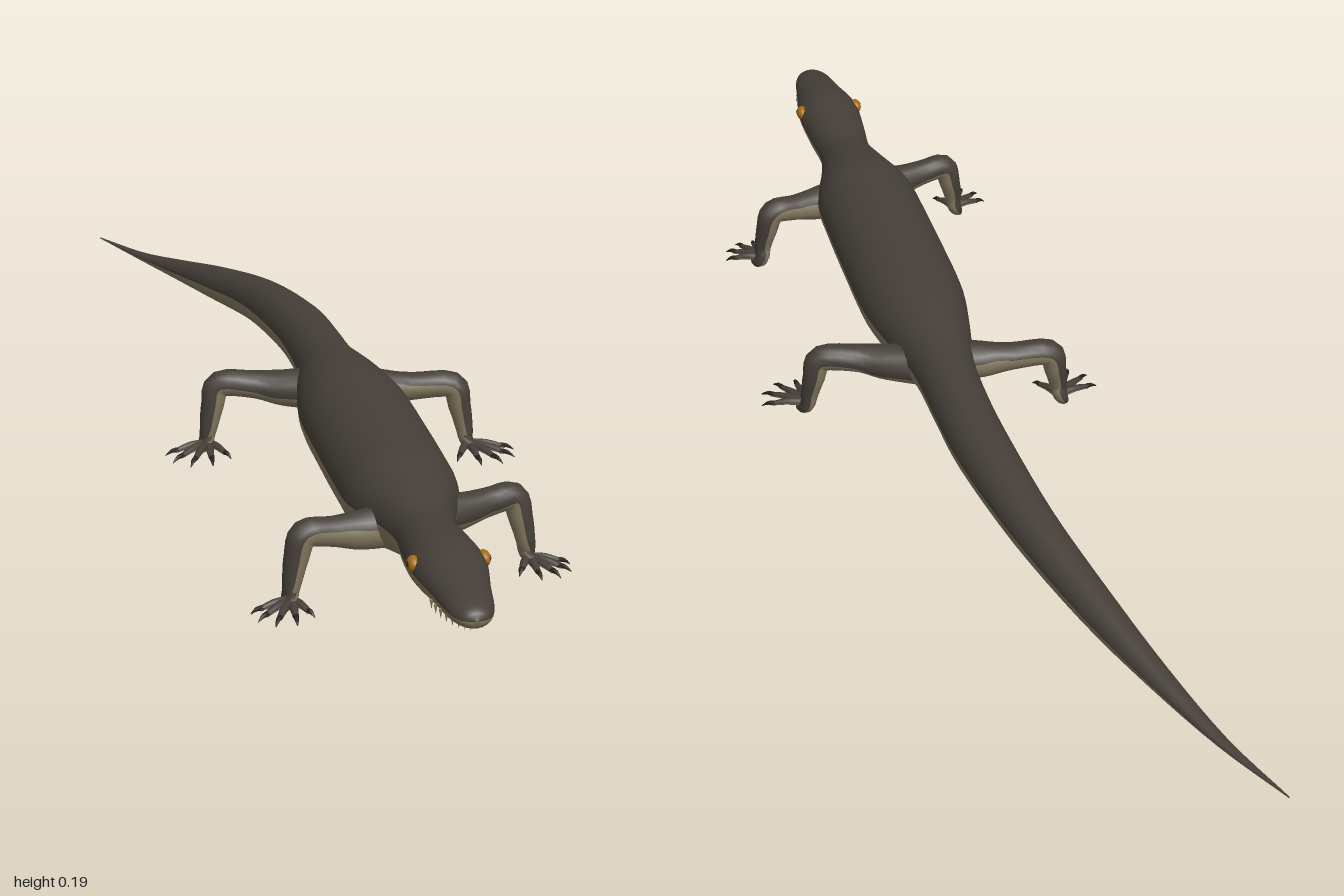
import * as THREE from 'three';

const mat = (name, color) => {
  const m = new THREE.MeshStandardMaterial({ color });
  m.name = name;
  return m;
};

// Smooth loft through stations [x, y, z, halfWidth, halfHeight].
// Material group 0 is the back half (towards ref), group 1 the belly half.
function loft(stations, ref, sides, perSpan) {
  const path = new THREE.CatmullRomCurve3(
    stations.map(s => new THREE.Vector3(s[0], s[1], s[2])), false, 'catmullrom', 0.5);
  const size = new THREE.CatmullRomCurve3(
    stations.map(s => new THREE.Vector3(s[3], s[4], 0)), false, 'catmullrom', 0.5);
  const n = (stations.length - 1) * perSpan;
  const pos = [], back = [], belly = [];
  for (let i = 0; i <= n; i++) {
    const c = path.getPoint(i / n), r = size.getPoint(i / n);
    const T = path.getTangent(i / n);
    const D = ref.clone().addScaledVector(T, -ref.dot(T)).normalize();
    const S = T.clone().cross(D);
    for (let j = 0; j < sides; j++) {
      const a = j / sides * Math.PI * 2;
      const p = c.clone()
        .addScaledVector(S, Math.max(r.x, 0.0005) * Math.cos(a))
        .addScaledVector(D, Math.max(r.y, 0.0005) * Math.sin(a));
      pos.push(p.x, p.y, p.z);
    }
  }
  for (let i = 0; i < n; i++) {
    for (let j = 0; j < sides; j++) {
      const k = (j + 1) % sides;
      const a = i * sides + j, b = i * sides + k, c = a + sides, d = b + sides;
      (j < sides / 2 ? back : belly).push(a, c, b, b, c, d);
    }
  }
  const g = new THREE.BufferGeometry();
  g.setAttribute('position', new THREE.Float32BufferAttribute(pos, 3));
  g.setIndex([...back, ...belly]);
  g.addGroup(0, back.length, 0);
  g.addGroup(back.length, belly.length, 1);
  g.computeVertexNormals();
  return g;
}

export function createModel() {
  const model = new THREE.Group();
  model.name = 'lizard';
  const backSkin = mat('dark back skin', 0x453f38);
  const bellySkin = mat('pale belly skin', 0x81765d);
  const eyeAmber = mat('amber eye', 0xa86a10);
  const black = mat('dark claw', 0x25211d);
  const ivory = mat('tooth', 0x8f866c);
  const skin = [backSkin, bellySkin];
  const UP = new THREE.Vector3(0, 1, 0);

  const add = (parent, name, geo, material) => {
    const m = new THREE.Mesh(geo, material);
    m.name = name;
    parent.add(m);
    return m;
  };

  // Head, trunk and tail in one skin, from the snout to the tail tip
  add(model, 'body', loft([
    [0, 0.118, 1.0, 0.001, 0.001],
    [0, 0.118, 0.992, 0.02, 0.013],
    [0, 0.119, 0.965, 0.032, 0.021],
    [0, 0.121, 0.91, 0.041, 0.029],
    [0, 0.124, 0.84, 0.053, 0.038],
    [0, 0.118, 0.77, 0.05, 0.042],
    [0, 0.114, 0.70, 0.045, 0.043],
    [0, 0.113, 0.64, 0.058, 0.055],
    [0, 0.11, 0.56, 0.082, 0.071],
    [0, 0.11, 0.48, 0.086, 0.073],
    [0, 0.11, 0.34, 0.087, 0.073],
    [0, 0.11, 0.21, 0.085, 0.072],
    [0, 0.11, 0.10, 0.068, 0.063],
    [0, 0.109, 0.01, 0.05, 0.052],
    [0, 0.107, -0.10, 0.046, 0.046],
    [-0.006, 0.102, -0.22, 0.045, 0.044],
    [-0.032, 0.087, -0.40, 0.038, 0.038],
    [-0.078, 0.062, -0.58, 0.030, 0.029],
    [-0.125, 0.041, -0.73, 0.020, 0.017],
    [-0.175, 0.025, -0.87, 0.010, 0.006],
    [-0.23, 0.02, -1.0, 0.001, 0.001],
  ], UP, 32, 4), skin);

  // Eyes, and a row of small teeth along each side of the jaw
  for (const s of [-1, 1]) {
    const eye = add(model, s > 0 ? 'leftEye' : 'rightEye',
      new THREE.SphereGeometry(0.012, 16, 12), eyeAmber);
    eye.position.set(s * 0.049, 0.134, 0.835);
    eye.scale.set(0.8, 1, 1.15);
    const pupil = add(model, s > 0 ? 'leftPupil' : 'rightPupil',
      new THREE.SphereGeometry(0.005, 10, 8), black);
    pupil.position.set(s * 0.0565, 0.135, 0.837);
    pupil.scale.set(0.5, 1, 1);
    for (let i = 0; i < 8; i++) {
      const a = 0.12 + i * 0.18;
      const tooth = add(model, 'tooth', new THREE.ConeGeometry(0.003, 0.014, 5), ivory);
      tooth.position.set(s * 0.041 * Math.sin(a), 0.106, 0.89 + 0.095 * Math.cos(a));
      tooth.rotation.x = Math.PI;
    }
  }

  // Sprawling leg: root z, knee z, foot x and z, thickness factor
  function makeLeg(name, s, rootZ, kneeZ, footX, footZ, k, toeLength) {
    const leg = new THREE.Group();
    leg.name = name;
    const kneeX = footX - 0.022;
    const mix = t => rootZ + (kneeZ - rootZ) * t;
    add(leg, 'limb', loft([
      [s * 0.02, 0.098, rootZ, 0.034 * k, 0.034],
      [s * 0.075, 0.097, mix(0.4), 0.026 * k, 0.029],
      [s * 0.12, 0.102, mix(0.75), 0.021 * k, 0.022],
      [s * kneeX, 0.104, kneeZ, 0.021, 0.021],
      [s * (kneeX + 0.012), 0.07, kneeZ + 0.002, 0.02, 0.018],
      [s * (footX - 0.003), 0.035, kneeZ + 0.006, 0.016, 0.014],
      [s * footX, 0.014, footZ - 0.008, 0.017, 0.011],
      [s * (footX + 0.006), 0.009, footZ + 0.012, 0.016, 0.007],
      [s * (footX + 0.009), 0.007, footZ + 0.022, 0.001, 0.001],
    ], new THREE.Vector3(s * 0.8, 0.6, 0), 16, 4), skin);

    // Fanned toes with claws, from the outermost to the innermost
    [[74, 0.85], [50, 0.97], [27, 1], [3, 0.92], [-28, 0.72]].forEach(([deg, f]) => {
      const a = deg * Math.PI / 180, L = toeLength * f;
      const at = d => [s * (footX + d * Math.sin(a)), footZ + d * Math.cos(a)];
      const station = (d, y, r) => [at(d)[0], y, at(d)[1], r, r * 0.85];
      add(leg, 'toe', loft([
        station(0, 0.011, 0.008),
        station(L * 0.4, 0.012, 0.0065),
        station(L * 0.78, 0.007, 0.004),
      ], UP, 8, 3), skin);
      add(leg, 'claw', loft([
        station(L * 0.7, 0.008, 0.0048),
        station(L * 0.85, 0.008, 0.0035),
        station(L, 0.002, 0.0005),
      ], UP, 6, 2), [black, black]);
    });
    model.add(leg);
  }
  makeLeg('frontLeftLeg', 1, 0.60, 0.562, 0.183, 0.572, 1, 0.072);
  makeLeg('frontRightLeg', -1, 0.61, 0.638, 0.183, 0.652, 1, 0.075);
  makeLeg('hindLeftLeg', 1, 0.055, 0.10, 0.203, 0.118, 1.15, 0.086);
  makeLeg('hindRightLeg', -1, 0.055, 0.026, 0.2, 0.037, 1.15, 0.086);

  return model;
}
